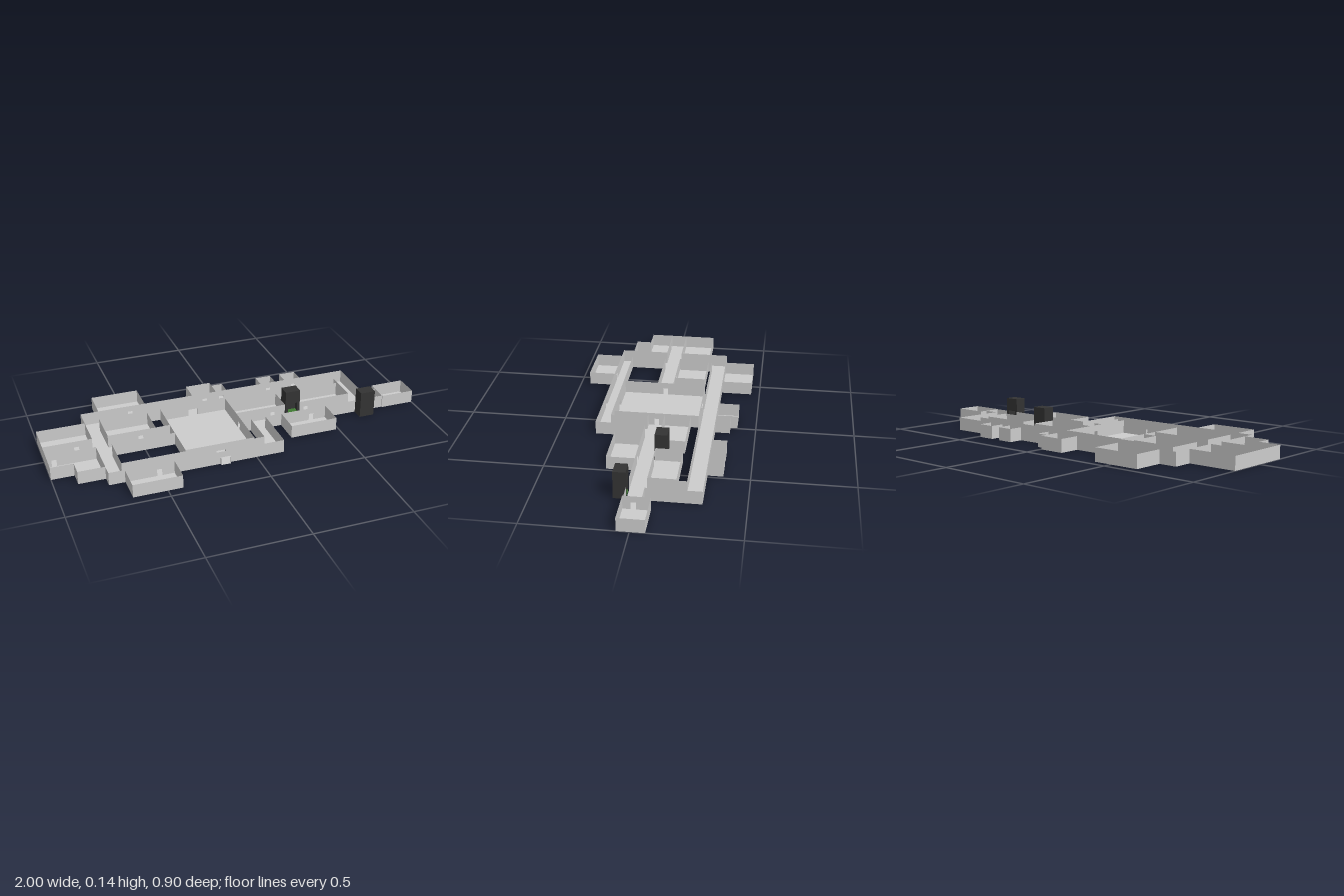
import * as THREE from 'three';

const H = 0.068;          // wall height
const DOOR = [0.025, 0.036]; // width, height of an ordinary doorway

const paint = (color) => new THREE.MeshStandardMaterial({ color, side: THREE.DoubleSide, flatShading: true });

export function createModel() {
  const model = new THREE.Group();
  const grey = paint(0xcccccc);
  const dark = paint(0x333333);
  const green = paint(0x3f7a32);

  const add = (parent, name, geometry, material) => {
    const mesh = new THREE.Mesh(geometry, material);
    mesh.name = name;
    parent.add(mesh);
    return mesh;
  };

  // Horizontal rectangle
  function slab(parent, name, [x0, x1, z0, z1], y = 0, material = grey) {
    const g = new THREE.PlaneGeometry(x1 - x0, z1 - z0).rotateX(-Math.PI / 2);
    add(parent, name, g.translate((x0 + x1) / 2, y, (z0 + z1) / 2), material);
  }

  // Thin upright wall from a to b along one axis; doors are [centre, width, height]
  function wall(parent, name, axis, at, a, b, doors = [], h = H, material = grey) {
    const s = new THREE.Shape();
    s.moveTo(a, 0);
    for (const [c, w = DOOR[0], dh = DOOR[1]] of doors) {
      s.lineTo(c - w / 2, 0);
      s.lineTo(c - w / 2, dh);
      s.lineTo(c + w / 2, dh);
      s.lineTo(c + w / 2, 0);
    }
    s.lineTo(b, 0);
    s.lineTo(b, h);
    s.lineTo(a, h);
    const g = new THREE.ShapeGeometry(s);
    if (axis === 'z') g.rotateY(-Math.PI / 2).translate(at, 0, 0);
    else g.translate(0, 0, at);
    add(parent, name, g, material);
  }

  // Corridor floors
  const corridors = new THREE.Group();
  corridors.name = 'corridors';
  model.add(corridors);
  [
    [-1, -0.345, -0.03, 0.055], [0.015, 0.82, -0.03, 0.055],
    [-0.75, 0.74, -0.295, -0.215], [-0.75, 0.145, 0.245, 0.31],
    [-0.75, -0.67, -0.215, -0.03], [-0.75, -0.67, 0.055, 0.245],
    [0.66, 0.74, -0.215, -0.03], [0.065, 0.145, 0.055, 0.245],
  ].forEach((r) => slab(corridors, 'corridorFloor', r));

  // Corridor walls running along x: z, start, end, doors
  const gate = [-0.165, 0.05, 0.036];
  [
    [-0.295, -0.75, 0.74, [[-0.485], [-0.07], [0.025], [0.3], [0.45]]],
    [-0.215, -0.67, 0.66, [gate]],
    [-0.03, -1, -0.75, [[-0.83]]],
    [-0.03, -0.67, -0.345, [[-0.5]]],
    [-0.03, 0.015, 0.29, [[0.22]]],
    [-0.03, 0.375, 0.66, [[0.41]]],
    [-0.03, 0.74, 0.82],
    [0.055, -1, -0.75, [[-0.96]]],
    [0.055, -0.67, -0.345],
    [0.055, 0.015, 0.065],
    [0.055, 0.145, 0.66, [[0.405]]],
    [0.055, 0.74, 0.82],
    [0.245, -0.67, 0.065, [gate]],
    [0.31, -0.75, 0.145, [[-0.5], gate]],
  ].forEach(([z, a, b, d]) => wall(corridors, 'corridorWall', 'x', z, a, b, d));

  // Corridor walls running along z: x, start, end
  [
    [-1, -0.03, 0.055],
    [-0.75, -0.295, -0.03], [-0.75, 0.055, 0.31],
    [-0.67, -0.215, -0.03], [-0.67, 0.055, 0.245],
    [0.065, 0.055, 0.245], [0.145, 0.055, 0.31],
    [0.66, -0.215, -0.03], [0.74, -0.295, -0.03],
  ].forEach(([x, a, b]) => wall(corridors, 'corridorWall', 'z', x, a, b));

  // Rooms hung on a corridor wall: bounds and the sides that need walls
  function room(name, r, sides, doors = {}) {
    const g = new THREE.Group();
    g.name = name;
    model.add(g);
    const [x0, x1, z0, z1] = r;
    slab(g, 'floor', r);
    if (sides.includes('b')) wall(g, 'backWall', 'x', z0, x0, x1, doors.b);
    if (sides.includes('f')) wall(g, 'frontWall', 'x', z1, x0, x1, doors.f);
    if (sides.includes('r')) wall(g, 'rightWall', 'z', x0, z0, z1, doors.r);
    if (sides.includes('l')) wall(g, 'leftWall', 'z', x1, z0, z1, doors.l);
    return g;
  }
  room('backRoom', [-0.655, -0.405, -0.455, -0.295], 'brl');
  room('backStore', [-0.14, -0.005, -0.405, -0.295], 'brl');
  room('backCloset', [-0.005, 0.055, -0.37, -0.295], 'bl');
  room('backCloset', [0.255, 0.34, -0.37, -0.295], 'brl');
  room('backCloset', [0.395, 0.485, -0.37, -0.295], 'brl');
  room('endRoom', [-1, -0.75, -0.195, -0.03], 'br');
  room('innerRoom', [-0.67, -0.42, -0.195, -0.03], 'bl');
  room('innerRoom', [0.015, 0.29, -0.165, -0.03], 'bl');
  room('innerRoom', [0.375, 0.65, -0.165, -0.03], 'brl');
  room('frontRoom', [0.235, 0.485, 0.055, 0.195], 'frl');
  room('frontRoom', [-0.67, -0.425, 0.31, 0.45], 'frl');
  room('farRoom', [0.82, 1, -0.07, 0.06], 'bfrl', { r: [[0.01]] });

  // L-shaped corner room
  room('cornerRoom', [-1, -0.885, 0.055, 0.17], 'fr');
  const wing = room('cornerRoomWing', [-0.885, -0.75, 0.055, 0.25], 'f');
  wall(wing, 'sideWall', 'z', -0.885, 0.17, 0.25);

  // Great hall with a doorway in each wall
  room('greatHall', [-0.345, 0.015, -0.205, 0.235], 'bfrl', {
    b: [gate], f: [gate], r: [[0.0125]], l: [[0.0125]],
  });

  // Short passages through the hall walls and the front entrance
  for (const [z0, z1] of [[-0.215, -0.205], [0.235, 0.245], [0.31, 0.322]]) {
    const p = new THREE.Group();
    p.name = 'doorPassage';
    model.add(p);
    const [x0, x1] = [-0.19, -0.14];
    slab(p, 'threshold', [x0, x1, z0, z1]);
    slab(p, 'lintel', [x0, x1, z0, z1], 0.036);
    for (const x of [x0, x1]) wall(p, 'jamb', 'z', x, z0, z1, [], 0.036);
  }

  // Dark lift towers with a green floor, open toward the corridor
  function tower(x0, x1, z0, z1, open) {
    const g = new THREE.Group();
    g.name = 'liftTower';
    model.add(g);
    const T = 0.14;
    slab(g, 'floor', [x0, x1, z0, z1], 0.002, green);
    slab(g, 'roof', [x0, x1, z0, z1], T, dark);
    for (const x of [x0, x1]) wall(g, 'sideWall', 'z', x, z0, z1, [], T, dark);
    for (const z of [z0, z1]) {
      const doors = z === open ? [[(x0 + x1) / 2, 0.05, 0.07]] : [];
      wall(g, 'endWall', 'x', z, x0, x1, doors, T, dark);
    }
  }
  tower(0.292, 0.373, -0.087, -0.025, -0.025);
  tower(0.66, 0.74, 0.057, 0.118, 0.057);

  return model;
}
